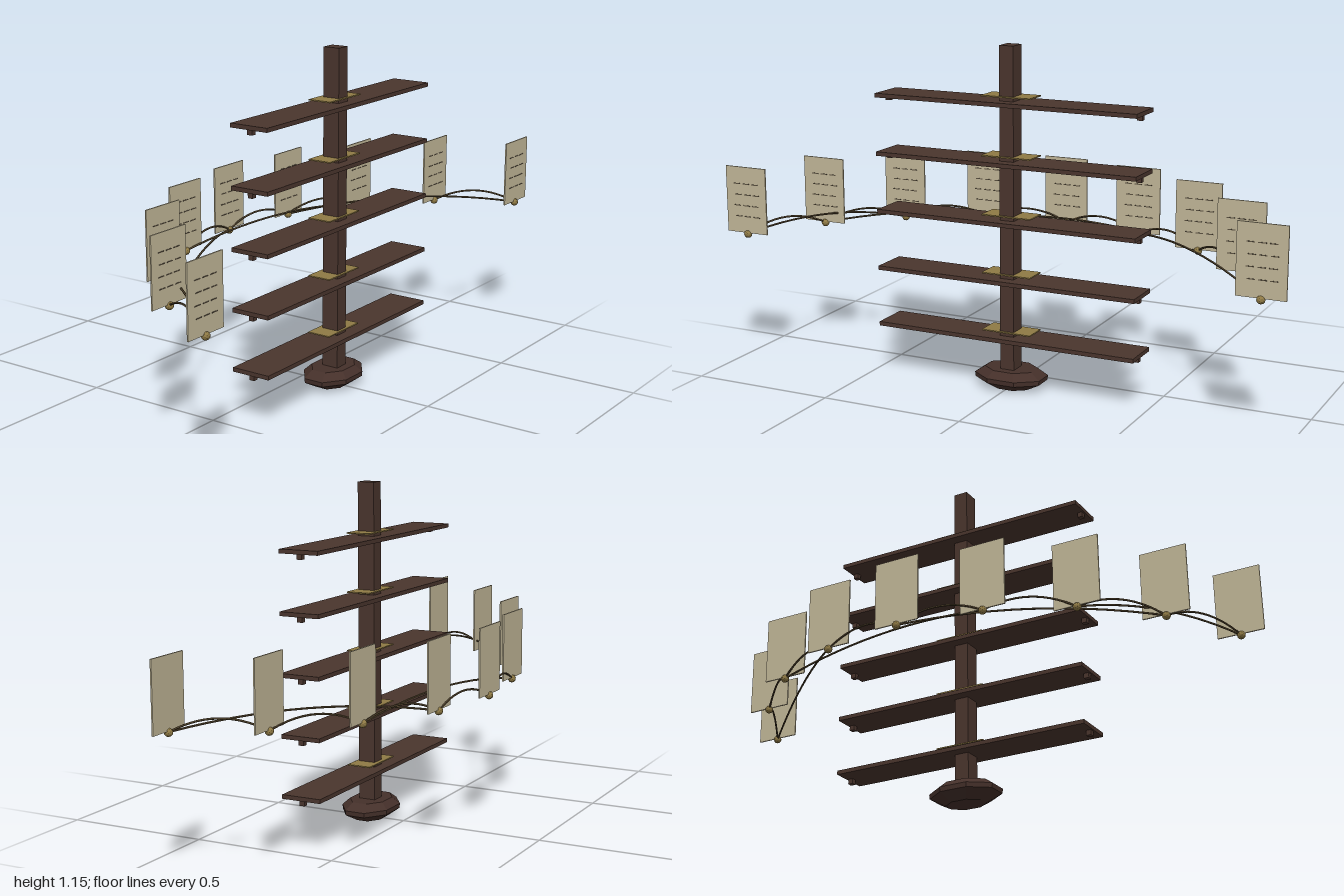
import * as THREE from 'three';

const flat = (name, color, opts = {}) => {
  const m = new THREE.MeshStandardMaterial({ color, flatShading: true, ...opts });
  m.name = name;
  return m;
};

export function createModel() {
  const wood = flat('dark wood', 0x4a352d);
  const baseWood = flat('base wood', 0x45302a, { side: THREE.DoubleSide });
  const brass = flat('aged brass', 0x8f7a45);
  const paper = flat('parchment', 0xc2b798);
  const ink = flat('ink', 0x5a5040);
  const cord = flat('cord', 0x574830);
  const root = new THREE.Group();
  root.name = 'shelfTreeWithCards';

  const add = (parent, name, geo, mat, x = 0, y = 0, z = 0) => {
    const mesh = new THREE.Mesh(geo, mat);
    mesh.name = name;
    mesh.position.set(x, y, z);
    parent.add(mesh);
    return mesh;
  };
  const box = (parent, name, w, h, d, mat, x, y, z) =>
    add(parent, name, new THREE.BoxGeometry(w, h, d), mat, x, y, z);

  const postZ = 0.128;

  // Faceted stone-like foot: eight-sided rings, squashed in depth
  const profile = [[0, 0.002], [0.068, 0.002], [0.122, 0.03], [0.124, 0.046], [0.09, 0.069], [0, 0.069]]
    .map(([r, y]) => new THREE.Vector2(r, y));
  const foot = add(root, 'base', new THREE.LatheGeometry(profile, 8, Math.PI / 8), baseWood, 0, 0, postZ - 0.003);
  foot.scale.set(1.04, 1, 0.75);

  // Central post
  box(root, 'post', 0.05, 1.09, 0.06, wood, 0, 0.61, postZ);

  // Five shelves, each with a brass plate and two end pegs
  for (let i = 0; i < 5; i++) {
    const shelf = new THREE.Group();
    shelf.name = 'shelf' + (i + 1);
    shelf.position.set(0, 0.178 + i * 0.1975, postZ);
    box(shelf, 'board', 0.935, 0.014, 0.139, wood, 0, 0, 0);
    box(shelf, 'brassPlate', 0.176, 0.004, 0.084, brass, 0, 0.021, -0.003);
    for (const s of [-1, 1]) box(shelf, 'peg', 0.018, 0.018, 0.018, wood, s * 0.453, -0.015, 0);
    root.add(shelf);
  }

  // Cards standing on brass beads along a curved row
  const half = [[0, -0.315], [0.29, -0.272], [0.555, -0.145], [0.768, 0.055], [0.917, 0.312]];
  const spots = [...half.slice(1).reverse().map(([x, z]) => [-x, z]), ...half];
  spots.forEach(([x, z], i) => {
    const card = new THREE.Group();
    card.name = 'card' + (i + 1);
    card.position.set(x, 0, z);
    box(card, 'sheet', 0.16, 0.23, 0.005, paper, 0, 0.59, 0);
    // Dashed ruled lines on the front
    for (let row = 0; row < 4; row++) {
      for (let k = 0; k < 3; k++) {
        box(card, 'mark', 0.026, 0.003, 0.002, ink, -0.036 + k * 0.036 + (row % 2) * 0.004,
          0.646 - row * 0.038, 0.003);
      }
    }
    add(card, 'bead', new THREE.IcosahedronGeometry(0.014, 1), brass, 0, 0.471, 0);
    root.add(card);
  });

  // Arched cords: neighbours first, then the long crossing ones
  const links = spots.slice(1).map((_, i) => [i, i + 1]);
  links.push([0, 2], [1, 4], [3, 6], [5, 8]);
  links.forEach(([a, b]) => {
    const [ax, az] = spots[a], [bx, bz] = spots[b];
    const arc = new THREE.QuadraticBezierCurve3(
      new THREE.Vector3(ax, 0.472, az),
      new THREE.Vector3((ax + bx) / 2, 0.552, (az + bz) / 2),
      new THREE.Vector3(bx, 0.472, bz));
    add(root, 'cord', new THREE.TubeGeometry(arc, 14, 0.0035, 5), cord);
  });

  return root;
}
